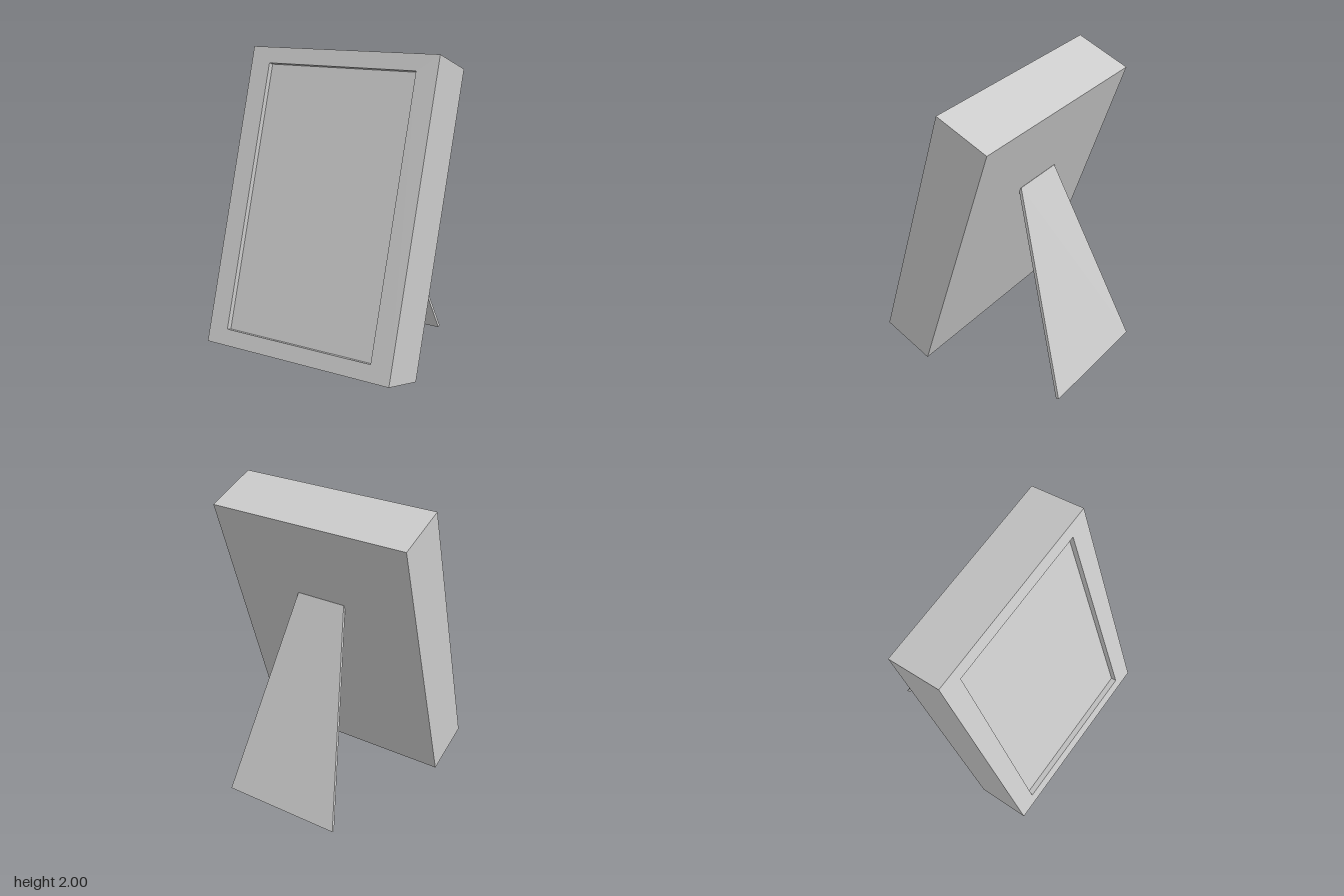
import * as THREE from 'three';

const material = new THREE.MeshStandardMaterial({ color: 0xcccccc, flatShading: true });

// Outline symmetric about x = 0, given half widths at the bottom and top
function outline(Type, bottom, top, y0, y1) {
  const s = new Type();
  s.moveTo(-bottom, y0);
  s.lineTo(bottom, y0);
  s.lineTo(top, y1);
  s.lineTo(-top, y1);
  s.closePath();
  return s;
}

function slab(name, shape, depth) {
  const mesh = new THREE.Mesh(
    new THREE.ExtrudeGeometry(shape, { depth, bevelEnabled: false }), material);
  mesh.name = name;
  return mesh;
}

export function createModel() {
  const model = new THREE.Group();
  model.name = 'photoFrame';

  const height = 1.962, depth = 0.378, recess = 0.038, margin = 0.105;
  const halfWidth = 0.67, halfOpening = 0.53;

  // Leaning body, pivoting on its lower back edge
  const body = new THREE.Group();
  body.name = 'leaningBody';
  body.position.set(0, 0.015, 0.285);
  body.rotation.x = -0.308;
  model.add(body);

  // Border with a rectangular opening
  const border = outline(THREE.Shape, halfWidth, halfWidth, 0, height);
  border.holes.push(outline(THREE.Path, halfOpening, halfOpening, margin, height - margin));
  body.add(slab('border', border, depth));

  // Picture panel set back inside the opening
  const panel = outline(THREE.Shape, halfOpening, halfOpening, margin, height - margin);
  body.add(slab('picturePanel', panel, depth - recess));

  // Tapered stand leaning against the back
  const stand = slab('stand', outline(THREE.Shape, 0.405, 0.168, 0, 1.427), 0.022);
  stand.position.set(0, 0.008, -0.645);
  stand.rotation.x = 0.362;
  model.add(stand);

  return model;
}
